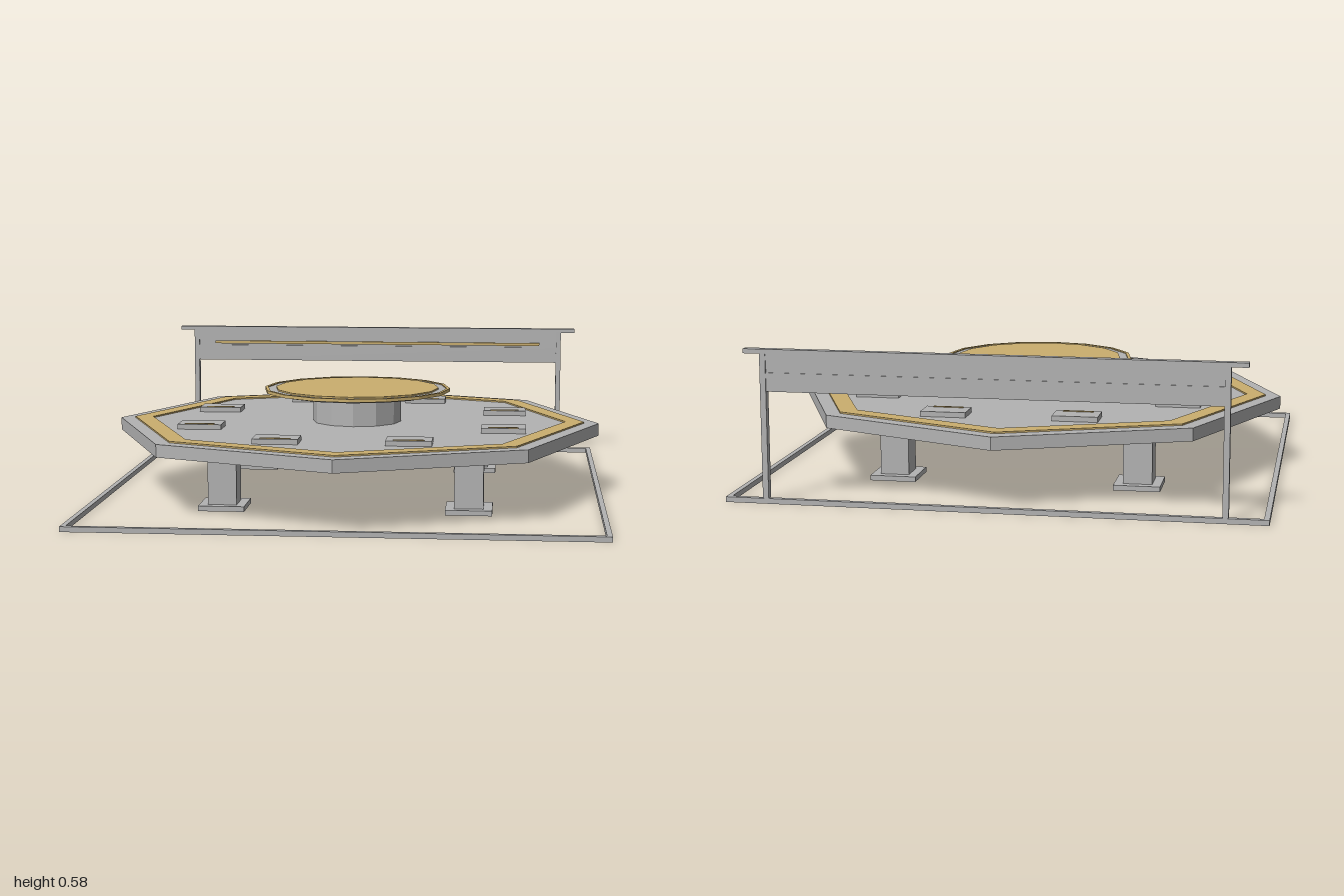
import * as THREE from 'three';

export function createModel() {
  const model = new THREE.Group();
  const grey = new THREE.MeshStandardMaterial({ color: 0xb3b3b3 });
  grey.name = 'grey metal';
  const gold = new THREE.MeshStandardMaterial({ color: 0xcaae6e });
  gold.name = 'gold trim';
  grey.flatShading = gold.flatShading = true;

  const add = (name, geometry, material, x, y, z) => {
    const mesh = new THREE.Mesh(geometry, material);
    mesh.name = name;
    mesh.position.set(x, y, z);
    model.add(mesh);
    return mesh;
  };
  // Box given by its centre in x and z, and its bottom and top in y
  const box = (name, material, x, z, w, d, y0, y1) =>
    add(name, new THREE.BoxGeometry(w, y1 - y0, d), material, x, (y0 + y1) / 2, z);
  const prism = (name, material, rTop, rBottom, sides, y0, y1) =>
    add(name, new THREE.CylinderGeometry(rTop, rBottom, y1 - y0, sides), material, 0, (y0 + y1) / 2, 0);
  // Flat polygonal ring lying in the ground plane
  const ring = (name, material, outer, inner, sides, y0, y1) => {
    const points = (r) => Array.from({ length: sides }, (_, i) => {
      const a = (i / sides) * Math.PI * 2;
      return new THREE.Vector2(r * Math.cos(a), r * Math.sin(a));
    });
    const shape = new THREE.Shape(points(outer));
    shape.holes.push(new THREE.Path(points(inner)));
    const geometry = new THREE.ExtrudeGeometry(shape, { depth: y1 - y0, bevelEnabled: false });
    geometry.rotateX(-Math.PI / 2);
    return add(name, geometry, material, 0, y0, 0);
  };

  // Square ground frame
  for (const s of [-1, 1]) {
    box('groundFrameBar', grey, 0, s * 0.99, 2, 0.02, 0, 0.02);
    box('groundFrameSide', grey, s * 0.99, 0, 0.02, 1.96, 0, 0.02);
  }

  // Legs with foot plates
  for (const x of [-0.477, 0.477]) {
    for (const z of [-0.477, 0.477]) {
      box('footPlate', grey, x, z, 0.18, 0.18, 0, 0.02);
      box('leg', grey, x, z, 0.112, 0.112, 0.02, 0.23);
    }
  }

  // Octagonal deck with gold border
  prism('deck', grey, 0.99, 0.99, 8, 0.23, 0.28);
  ring('deckBorder', gold, 0.93, 0.855, 8, 0.28, 0.286);

  // Pads around the deck, each with a gold stripe near its front edge
  for (const sx of [-1, 1]) {
    for (const sz of [-1, 1]) {
      for (const [x, z] of [[0.253, 0.605], [0.605, 0.253]]) {
        box('pad', grey, sx * x, sz * z, 0.175, 0.113, 0.28, 0.3);
        box('padStripe', gold, sx * x, sz * z + 0.042, 0.117, 0.01, 0.299, 0.303);
      }
    }
  }

  // Central pedestal and round table top
  prism('pedestal', grey, 0.182, 0.182, 12, 0.28, 0.395);
  prism('tableTop', grey, 0.37, 0.33, 16, 0.395, 0.414);
  ring('tableRim', gold, 0.382, 0.369, 16, 0.405, 0.418);
  prism('tableInlay', gold, 0.336, 0.336, 16, 0.413, 0.42);

  // Back rail: posts, boards, cap and gold strip
  for (const x of [-0.845, 0.845]) box('railPost', grey, x, -0.985, 0.022, 0.028, 0.02, 0.56);
  box('lowerBoard', grey, 0, -0.984, 1.71, 0.022, 0.42, 0.49);
  box('recessPanel', grey, 0, -0.986, 1.67, 0.012, 0.49, 0.515);
  box('goldStrip', gold, 0, -0.974, 1.515, 0.009, 0.497, 0.51);
  box('upperBoard', grey, 0, -0.984, 1.71, 0.022, 0.515, 0.56);
  box('railCap', grey, 0, -0.984, 1.835, 0.03, 0.56, 0.577);

  return model;
}
